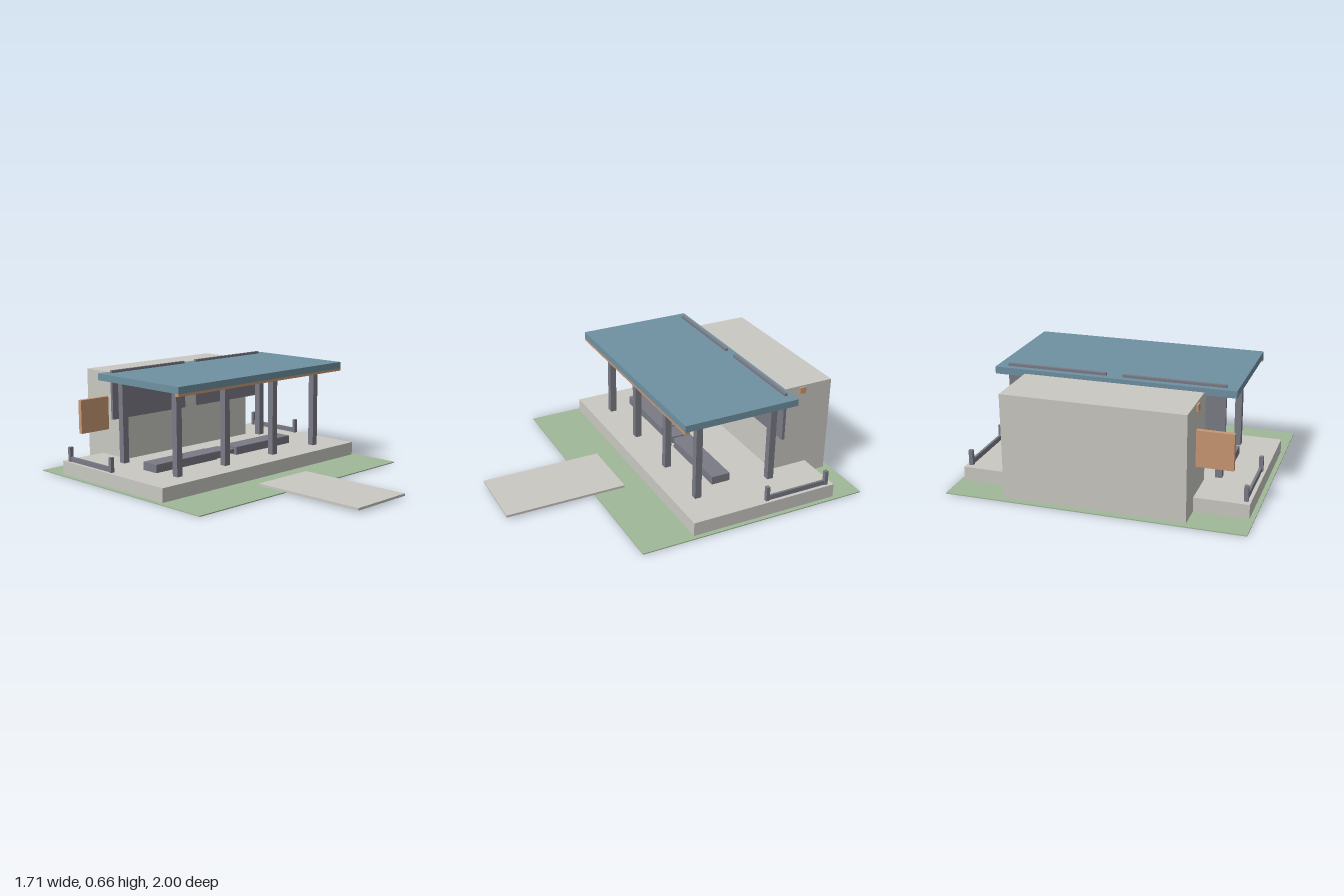
import * as THREE from 'three';

const mat = (name, color) => {
  const m = new THREE.MeshStandardMaterial({ color });
  m.name = name;
  return m;
};

export function createModel() {
  const model = new THREE.Group();
  model.name = 'pavilion';
  const grass = mat('grass green', 0x9fb899);
  const stone = mat('pale stone', 0xc9c8c2);
  const blue = mat('roof blue', 0x6f91a2);
  const steel = mat('steel grey', 0x7a7b85);
  const timber = mat('timber orange', 0xc99873);

  // Box given by its extents on each axis
  const box = (name, material, [x0, x1], [y0, y1], [z0, z1], parent = model) => {
    const mesh = new THREE.Mesh(new THREE.BoxGeometry(x1 - x0, y1 - y0, z1 - z0), material);
    mesh.position.set((x0 + x1) / 2, (y0 + y1) / 2, (z0 + z1) / 2);
    mesh.name = name;
    parent.add(mesh);
    return mesh;
  };

  // Ground, platform and entrance path
  box('lawn', grass, [-0.857, 0.857], [0, 0.006], [-1, 0.444]);
  box('platform', stone, [-0.83, 0.83], [0.006, 0.09], [-0.819, 0.114]);
  box('path', stone, [-0.209, 0.209], [0.013, 0.027], [0.255, 1]);

  // Rear building
  box('building', stone, [-0.521, 0.521], [0.006, 0.616], [-0.962, -0.579]);
  box('crossBeam', timber, [-0.532, 0.532], [0.568, 0.606], [-0.781, -0.741]);
  box('sidePanel', timber, [-0.73, -0.52], [0.253, 0.462], [-0.78, -0.753]);

  // Canopy
  box('roof', blue, [-0.7, 0.7], [0.6, 0.641], [-0.614, 0.111]);
  box('roofFascia', timber, [-0.7, 0.7], [0.585, 0.6], [0.083, 0.111]);

  // Columns: four along the front, two at the rear corners
  const column = (name, x, z) =>
    box(name, steel, [x - 0.02, x + 0.02], [0.09, 0.6], [z - 0.02, z + 0.02]);
  for (const x of [-0.592, -0.208, 0.208, 0.592]) column('frontColumn', x, -0.028);
  for (const x of [-0.592, 0.592]) column('rearColumn', x, -0.515);

  // Hanging screens and side railings, mirrored
  for (const s of [-1, 1]) {
    const screen = box('screen', steel, [-0.293, 0.293], [0.355, 0.656], [-0.58, -0.562]);
    screen.position.x = s * 0.341;

    const railing = new THREE.Group();
    railing.name = s > 0 ? 'leftRailing' : 'rightRailing';
    railing.position.x = s * 0.802;
    for (const z of [-0.375, -0.775])
      box('railPost', steel, [-0.012, 0.012], [0.09, 0.18], [z - 0.011, z + 0.011], railing);
    box('rail', steel, [-0.007, 0.007], [0.09, 0.12], [-0.775, -0.375], railing);
    model.add(railing);
  }

  // Bench row with two lower units in the middle
  const bench = new THREE.Group();
  bench.name = 'benchRow';
  box('rightBench', steel, [-0.632, -0.14], [0.09, 0.14], [-0.288, -0.17], bench);
  box('leftBench', steel, [0.027, 0.519], [0.09, 0.14], [-0.288, -0.17], bench);
  box('middleBench', steel, [-0.14, -0.018], [0.09, 0.134], [-0.298, -0.185], bench);
  box('benchLink', steel, [-0.018, 0.027], [0.1, 0.126], [-0.309, -0.19], bench);
  model.add(bench);

  return model;
}
